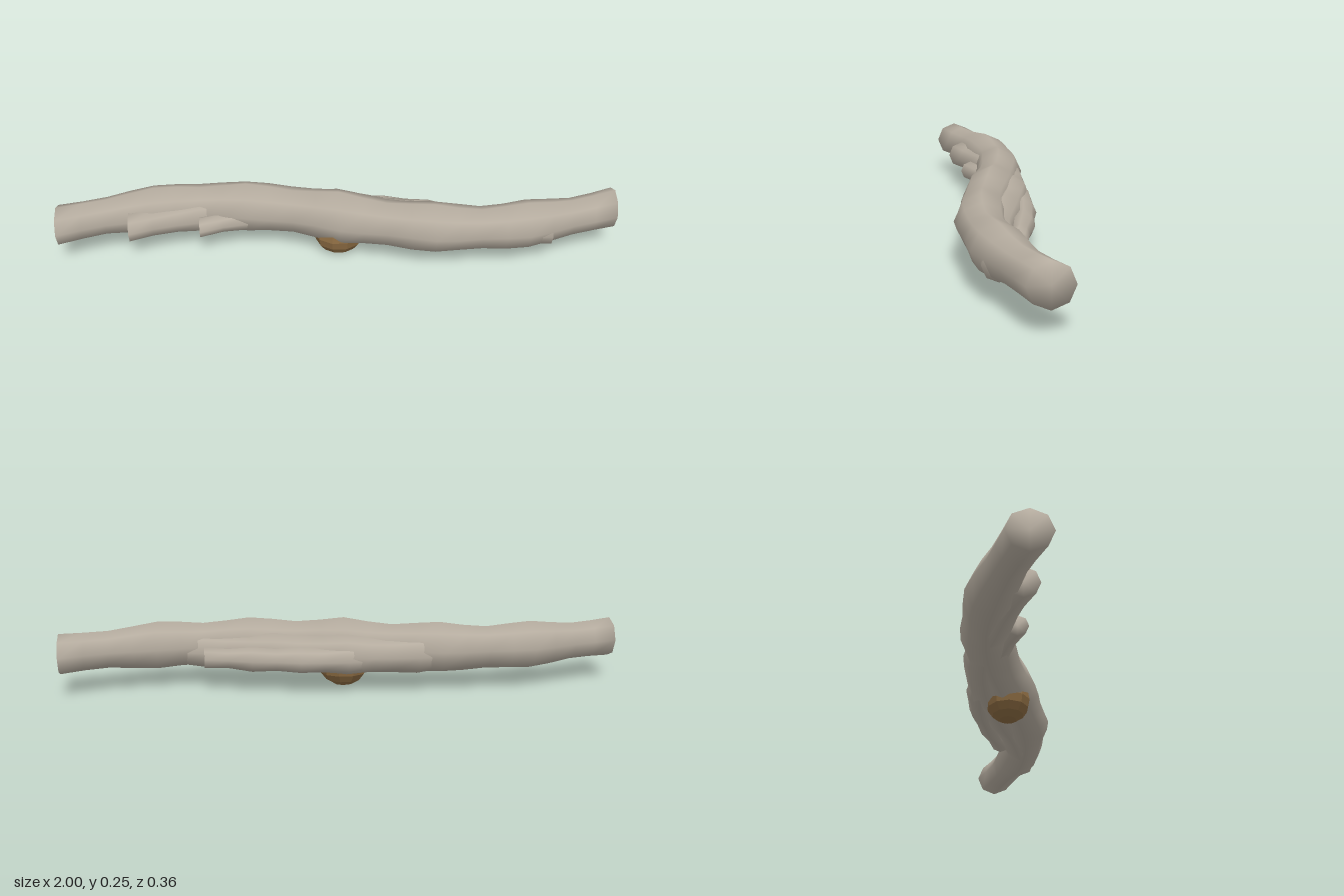
import * as THREE from 'three';

const SIDES = 8;
const bark = new THREE.MeshStandardMaterial({ color: 0xb5ac9f });
bark.name = 'weathered wood';
const earth = new THREE.MeshStandardMaterial({ color: 0x8b6b42 });
earth.name = 'brown stone';

// Knotty radius profile, from the middle of a limb (0) to its end (6)
const knots = [0.099, 0.084, 0.091, 0.076, 0.086, 0.067, 0.072];
const profile = new THREE.CatmullRomCurve3(
  knots.map((r, i) => new THREE.Vector3(i / 6, r, 0)));
const radiusAt = (u) => profile.getPoint(Math.min(1, Math.abs(u))).y;

// A wavy limb running along x from -half to +half, closed at both ends
function limb(name, half, y, thickness, segments) {
  const pos = [], index = [];
  const waveZ = (x) => -0.1 * Math.sin(Math.PI * (x + half));
  for (let i = 0; i <= segments; i++) {
    const u = (i / segments) * 2 - 1;
    const r = radiusAt(u) * thickness;
    for (let j = 0; j < SIDES; j++) {
      const a = (j / SIDES) * Math.PI * 2;
      // slight irregularity, fading out toward the ends
      const k = 1 + 0.03 * Math.sin(j * 2.4 + i * 1.7) * (1 - u * u);
      pos.push(u * half, y + Math.cos(a) * r * k, waveZ(u * half) + Math.sin(a) * r * k);
    }
  }
  for (let i = 0; i < segments; i++) {
    for (let j = 0; j < SIDES; j++) {
      const a = i * SIDES + j, b = i * SIDES + (j + 1) % SIDES;
      index.push(a, b, a + SIDES, b, b + SIDES, a + SIDES);
    }
  }
  // end caps share the rim, so the shading rolls softly over the edge
  const start = pos.length / 3, last = segments * SIDES;
  pos.push(-half, y, waveZ(-half), half, y, waveZ(half));
  for (let j = 0; j < SIDES; j++) {
    const n = (j + 1) % SIDES;
    index.push(start, n, j, start + 1, last + j, last + n);
  }
  const geo = new THREE.BufferGeometry();
  geo.setAttribute('position', new THREE.Float32BufferAttribute(pos, 3));
  geo.setIndex(index);
  geo.computeVertexNormals();
  const mesh = new THREE.Mesh(geo, bark);
  mesh.name = name;
  return mesh;
}

export function createModel() {
  const group = new THREE.Group();
  group.name = 'driftwood';

  // Main trunk with two thinner strands twined against it
  group.add(limb('trunk', 1, 0.148, 1, 24));
  group.add(limb('longStrand', 0.75, 0.13, 0.75, 18));
  group.add(limb('shortStrand', 0.5, 0.118, 0.52, 12));

  // Faceted stone underneath
  let geo = new THREE.SphereGeometry(1, 10, 8).toNonIndexed();
  geo.scale(0.09, 0.078, 0.08);
  geo.computeVertexNormals();
  const stone = new THREE.Mesh(geo, earth);
  stone.name = 'stone';
  stone.position.y = 0.078;
  group.add(stone);
  return group;
}
